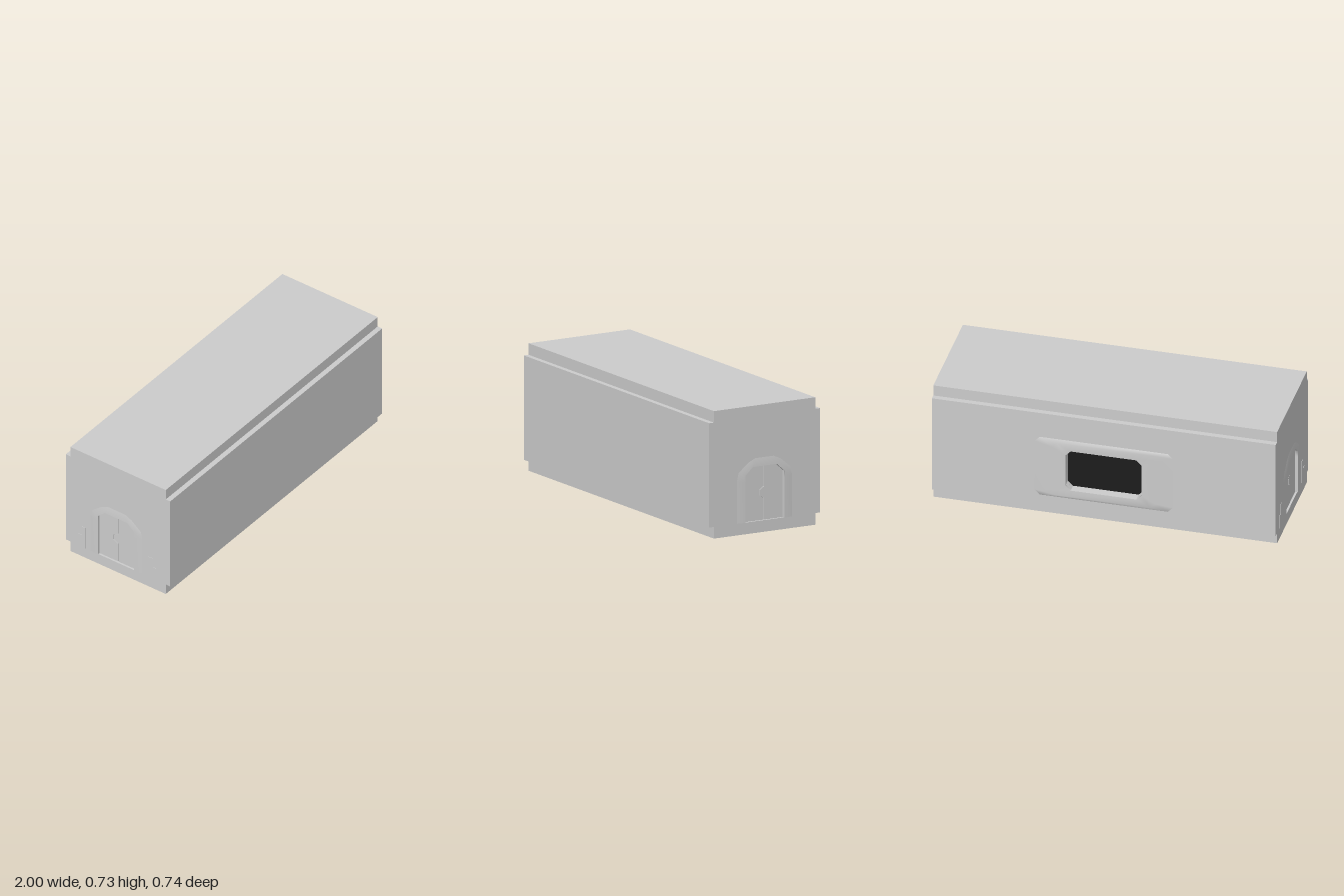
import * as THREE from 'three';

const grey = new THREE.MeshStandardMaterial({ color: 0xcccccc });
const greyTwoSided = new THREE.MeshStandardMaterial({ color: 0xcccccc, side: THREE.DoubleSide });
const black = new THREE.MeshStandardMaterial({ color: 0x1c1c1c });

function add(parent, geometry, name, material = grey) {
  const mesh = new THREE.Mesh(geometry, material);
  mesh.name = name;
  parent.add(mesh);
  return mesh;
}

const toShape = (points) => new THREE.Shape(points.map(([x, y]) => new THREE.Vector2(x, y)));

// Prism from an outline, running along its normal from depth a to b
function prism(points, a, b, hole) {
  const shape = toShape(points);
  if (hole) shape.holes.push(toShape(hole));
  return new THREE.ExtrudeGeometry(shape, { depth: b - a, bevelEnabled: false }).translate(0, 0, a);
}

// Smooth skin over rings of [outline, depth]
function loft(rings, closed) {
  const n = rings[0][0].length;
  const position = rings.flatMap(([points, z]) => points.flatMap(([x, y]) => [x, y, z]));
  const index = [];
  for (let r = 0; r < rings.length - 1; r++) {
    for (let i = 0; i < (closed ? n : n - 1); i++) {
      const a = r * n + i, b = r * n + (i + 1) % n;
      index.push(a, b, b + n, a, b + n, a + n);
    }
  }
  const geometry = new THREE.BufferGeometry();
  geometry.setAttribute('position', new THREE.Float32BufferAttribute(position, 3));
  geometry.setIndex(index);
  geometry.computeVertexNormals();
  return geometry;
}

// Symmetric outline from its right half, listed bottom to top
const mirrored = (half, c) => [
  ...half.map(([x, y]) => [c + x, y]),
  ...half.slice().reverse().map(([x, y]) => [c - x, y]),
];

// Rectangle with cut corners
const cutRect = (w, y0, y1, c) => mirrored([[w - c, y0], [w, y0 + c], [w, y1 - c], [w - c, y1]], 0);

const LOW = 0.067, HIGH = 0.667, TOP = 0.733;
const CORE = 0.975, WALL = 0.995;

// Hall section with stepped corners; the rear wall can be left out
const section = (rear) => [
  [-0.338, 0], [0.328, 0], [0.328, LOW], [rear, LOW], [rear, HIGH], [0.328, HIGH],
  [0.328, TOP], [-0.338, TOP], [-0.338, HIGH], [-0.369, HIGH], [-0.369, LOW], [-0.338, LOW],
];

// Door arch outlines
const CENTRE = -0.006;
const archOuter = mirrored([[0.181, LOW], [0.181, 0.31], [0.17, 0.357], [0.105, 0.41], [0.06, 0.43]], CENTRE);
const archMiddle = mirrored([[0.154, LOW], [0.154, 0.305], [0.149, 0.348], [0.103, 0.387], [0.07, 0.406]], CENTRE);
const archInner = mirrored([[0.127, LOW], [0.127, 0.3], [0.127, 0.338], [0.103, 0.36], [0.079, 0.382]], CENTRE);

function createDoorway() {
  const door = new THREE.Group();
  door.name = 'doorway';
  add(door, loft([[archOuter, WALL], [archMiddle, 0.9985], [archInner, 1]], false), 'doorFrame', greyTwoSided);
  add(door, loft([[archInner, 1], [archInner, CORE]], false), 'doorReveal', greyTwoSided);

  // Two leaves that meet along a notched seam
  const seam = [[-0.004, LOW], [-0.004, 0.192], [-0.033, 0.209], [-0.033, 0.241], [-0.004, 0.259], [-0.004, 0.382]];
  const gap = 0.002;
  const rightEdge = [[0.121, LOW], [0.121, 0.338], [0.073, 0.382]];
  const leftEdge = [[-0.133, LOW], [-0.133, 0.338], [-0.085, 0.382]];
  const shifted = (d) => seam.map(([x, y]) => [x + d, y]);
  add(door, prism([...rightEdge, ...shifted(gap).reverse()], CORE, 0.983), 'doorLeaf');
  add(door, prism([...leftEdge, ...shifted(-gap).reverse()], CORE, 0.983), 'doorLeaf');
  return door;
}

export function createModel() {
  const model = new THREE.Group();
  model.name = 'corridorSection';

  // Main body, with the sections turned to run along x
  const body = add(model, prism(section(0.31), -CORE, CORE), 'hallBody');
  body.rotation.y = Math.PI / 2;

  // End walls and doors
  for (const side of [1, -1]) {
    const end = new THREE.Group();
    end.name = side > 0 ? 'leftEnd' : 'rightEnd';
    end.rotation.y = side * Math.PI / 2;
    const outline = section(0.36).map(([x, y]) => [side * x, y]);
    add(end, prism(outline, CORE, WALL, archInner), 'endWall');
    end.add(createDoorway());
    if (side < 0) {
      // Low stepped plates beside the door
      for (const s of [1, -1]) {
        const plate = [[0.22, LOW], [0.275, LOW], [0.275, 0.15], [0.25, 0.15], [0.25, 0.21], [0.22, 0.21]];
        add(end, prism(plate.map(([x, y]) => [s * x, y]), WALL, 0.997), 'sidePlate');
      }
    }
    model.add(end);
  }

  // Rear wall with the window
  const rear = new THREE.Group();
  rear.name = 'rearWall';
  rear.rotation.y = Math.PI;
  const wall = [[-CORE, LOW], [CORE, LOW], [CORE, HIGH], [-CORE, HIGH]];
  const opening = cutRect(0.22, 0.187, 0.445, 0.03);
  add(rear, prism(wall, 0.31, 0.36, opening), 'rearPanel');
  const swell = [[cutRect(0.4, 0.13, 0.51, 0.03), 0.36], [cutRect(0.3, 0.145, 0.49, 0.03), 0.369], [opening, 0.367]];
  add(rear, loft(swell, true), 'windowSurround');
  add(rear, loft([[opening, 0.367], [opening, 0.31]], true), 'windowReveal', greyTwoSided);
  add(rear, prism(opening, 0.308, 0.313), 'windowPane', black);
  model.add(rear);

  return model;
}
